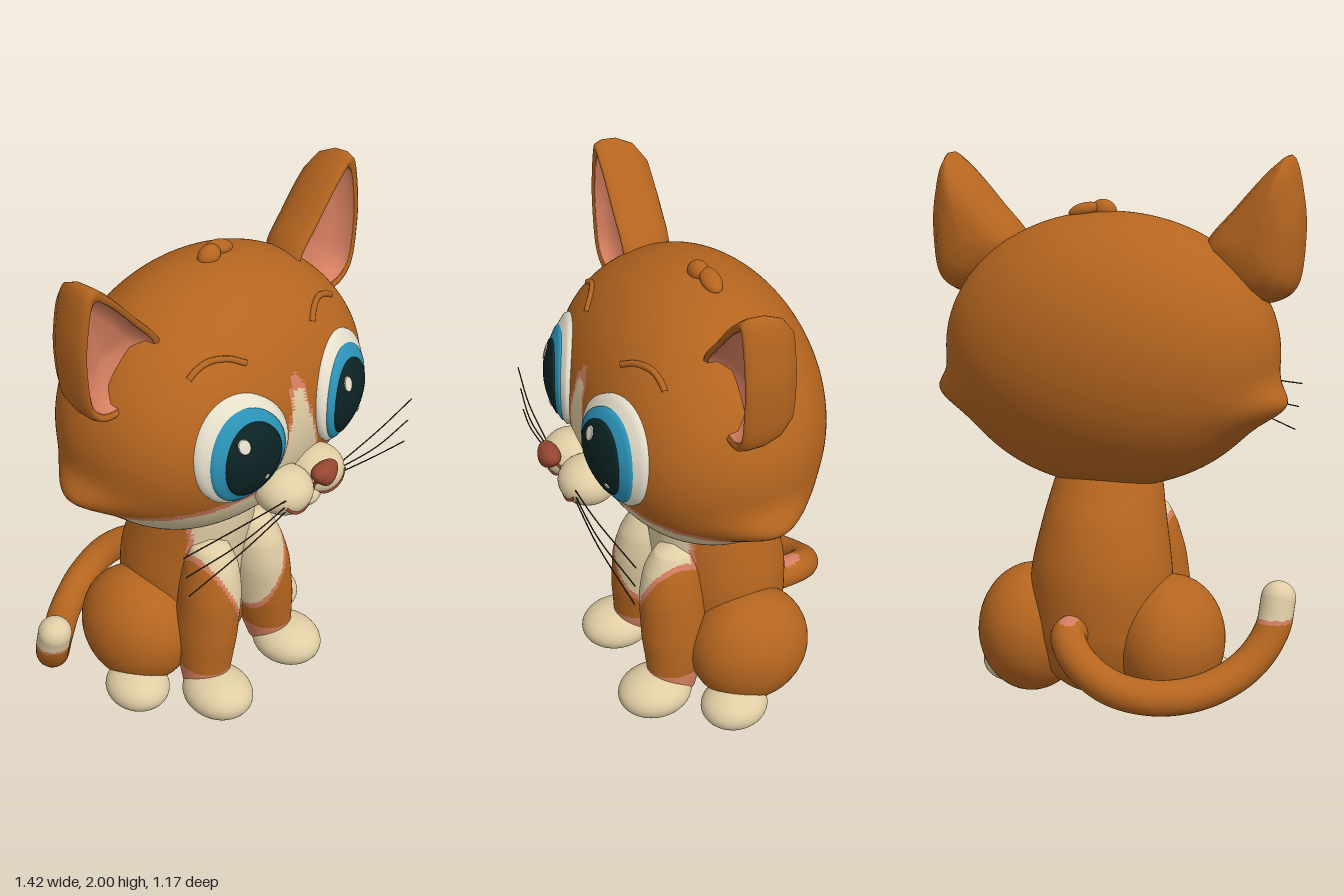
import * as THREE from 'three';

const flat = (name, color) => {
  const m = new THREE.MeshStandardMaterial({ color });
  m.name = name;
  return m;
};
const fur = flat('orange fur', 0xb5651f);
const cream = flat('cream fur', 0xe0cda4);
const pink = flat('pink', 0xd67f60);
const eyeWhite = flat('eye white', 0xe6e0cc);
const iris = flat('blue iris', 0x2b93b8);
const pupil = flat('dark pupil', 0x0c2324);
const noseRed = flat('red brown nose', 0x964630);
const dark = flat('dark whisker', 0x3d2a1a);
const coat = [fur, cream, pink];

const V = (x, y, z) => new THREE.Vector3(x, y, z);
const SIDES = [['left', 1], ['right', -1]];

// piecewise linear lookup in [key, value] pairs
function ramp(pairs, k) {
  if (k <= pairs[0][0]) return pairs[0][1];
  for (let i = 1; i < pairs.length; i++) {
    const [a, u] = pairs[i - 1], [b, v] = pairs[i];
    if (k <= b) return u + (v - u) * (k - a) / (b - a);
  }
  return pairs[pairs.length - 1][1];
}

// skin over closed rings with equal point counts
function loft(rings) {
  const n = rings[0].length, index = [];
  for (let i = 0; i < rings.length - 1; i++) {
    for (let j = 0; j < n; j++) {
      const a = i * n + j, b = i * n + (j + 1) % n;
      index.push(a, a + n, b, b, a + n, b + n);
    }
  }
  const g = new THREE.BufferGeometry().setFromPoints(rings.flat());
  g.setIndex(index);
  g.computeVertexNormals();
  return g;
}

// smooth limb or trunk from [y, centre x, centre z, radius x, radius z]
function trunk(sections, steps = 80, n = 72) {
  const mid = new THREE.CatmullRomCurve3(sections.map(s => V(s[1], s[0], s[2])));
  const rad = new THREE.CatmullRomCurve3(sections.map(s => V(s[3], 0, s[4])));
  return loft(Array.from({ length: steps + 1 }, (_, i) => {
    const c = mid.getPoint(i / steps), r = rad.getPoint(i / steps);
    return Array.from({ length: n }, (_, j) => {
      const a = j / n * Math.PI * 2;
      return V(c.x + r.x * Math.cos(a), c.y, c.z + r.z * Math.sin(a));
    });
  }));
}

// sort triangles into material groups by a rule on their centre
function paint(g, rule) {
  const p = g.attributes.position, ix = g.index.array, bins = [[], [], []];
  for (let i = 0; i < ix.length; i += 3) {
    const t = [ix[i], ix[i + 1], ix[i + 2]];
    const avg = f => (f(t[0]) + f(t[1]) + f(t[2])) / 3;
    bins[rule(avg(k => p.getX(k)), avg(k => p.getY(k)), avg(k => p.getZ(k)))].push(...t);
  }
  g.setIndex(bins.flat());
  let start = 0;
  bins.forEach((b, k) => { g.addGroup(start, b.length, k); start += b.length; });
  return g;
}

// front surface of the head
const HEAD = { a: 0.62, b: 0.5, c: 0.44, y: 1.3 };
const headZ = (x, y) => HEAD.c * (1 + 0.25 * (x / HEAD.a) ** 2) *
  Math.sqrt(Math.max(0, 1 - (x / HEAD.a) ** 2 - ((y - HEAD.y) / HEAD.b) ** 2));

export function createModel() {
  const cat = new THREE.Group();
  cat.name = 'cat';
  const add = (name, g, mat) => {
    const m = new THREE.Mesh(g, mat);
    m.name = name;
    cat.add(m);
    return m;
  };
  const blob = (name, mat, p, r) => {
    const m = add(name, new THREE.SphereGeometry(1, 40, 28), mat);
    m.position.set(...p);
    m.scale.set(...r);
    return m;
  };
  const tube = (name, mat, pts, r, sides = 8) =>
    add(name, new THREE.TubeGeometry(new THREE.CatmullRomCurve3(pts), 32, r, sides), mat);

  // head: rounded ellipsoid with cheek bulges
  const head = new THREE.SphereGeometry(1, 180, 130);
  const hp = head.attributes.position;
  for (let i = 0; i < hp.count; i++) {
    const u = hp.getX(i), y = HEAD.y + hp.getY(i) * HEAD.b, w = hp.getZ(i);
    const z = w > 0 ? w * HEAD.c * (1 + 0.25 * u * u) : w * 0.42;
    const puff = 0.075 * Math.exp(-(((y - 1.13) / 0.07) ** 2) - ((z + 0.03) / 0.16) ** 2);
    hp.setXYZ(i, u * HEAD.a + Math.sign(u) * puff * THREE.MathUtils.smoothstep(Math.abs(u), 0.5, 0.8), y, z);
  }
  head.computeVertexNormals();
  const blaze = [[1.05, 0.12], [1.2, 0.1], [1.3, 0.065], [1.4, 0.035], [1.47, 0.024], [1.51, 0]];
  add('head', paint(head, (x, y, z) => {
    const jaw = Math.min(1.045 + 0.14 * z - y, z + 0.01);
    const strip = z > 0 && y < 1.515 ? ramp(blaze, y) - Math.abs(x) : -1;
    if (jaw > 0 || (strip > 0 && y < 1.46)) return 1;
    return jaw > -0.025 || strip > -0.01 ? 2 : 0;
  }), coat);

  // ears: rounded outline lofted front to back, hollow pink inside
  const earLine = new THREE.CatmullRomCurve3([[0.64, 2], [0.685, 1.85], [0.692, 1.7], [0.665, 1.54], [0.6, 1.49],
    [0.48, 1.5], [0.36, 1.6], [0.34, 1.68], [0.45, 1.82], [0.59, 1.97]].map(p => V(p[0], p[1], 0)), true).getPoints(64).slice(0, 64);
  const earPart = (s, levels) => loft(levels.map(([k, z]) => {
    const ring = earLine.map(p => V(s * (0.54 + (p.x - 0.54) * k), 1.68 + (p.y - 1.68) * k, z));
    return s < 0 ? ring.reverse() : ring;
  }));

  // eyes: nested domes following the head surface
  const dome = (cx, cy, rx, ry, ex, lift) => loft(Array.from({ length: 15 }, (_, i) =>
    Array.from({ length: 56 }, (_, j) => {
      const a = -j / 56 * Math.PI * 2, k = Math.min(1, 1 - (i - 1) / 13);
      const x = cx + rx * k * Math.cos(a), y = cy + ry * k * Math.sin(a);
      const rho = Math.min(1, ((x - ex) / 0.18) ** 2 + ((y - 1.335) / 0.203) ** 2);
      return V(x, y, headZ(x, y) + 0.012 + lift + 0.037 * (1 - rho) - (i === 0 ? 0.02 + lift : 0));
    })));

  const legShape = [[0.09, 0.19, 0.17, 0.08, 0.09], [0.22, 0.175, 0.155, 0.1, 0.115], [0.35, 0.16, 0.15, 0.11, 0.128],
    [0.5, 0.14, 0.15, 0.11, 0.125], [0.62, 0.125, 0.14, 0.095, 0.11], [0.7, 0.12, 0.13, 0.065, 0.075], [0.73, 0.12, 0.13, 0.002, 0.002]];
  const bib = [[0.25, 0], [0.3, 0.05], [0.4, 0.09], [0.55, 0.15], [0.65, 0.185], [0.75, 0.215]];
  const bibRule = (x, y, z) => {
    const d = y > 0.28 ? Math.min(ramp(bib, y) - Math.abs(x), z - 0.09) : -1;
    return d > 0 ? 1 : d > -0.016 || (y > 0.26 && y <= 0.29 && z > 0 && Math.abs(x) < 0.06) ? 2 : 0;
  };

  for (const [side, s] of SIDES) {
    add(side + 'Ear', earPart(s, [[0, -0.09], [0.4, -0.088], [0.7, -0.07], [0.9, -0.025], [0.99, 0.035],
      [1, 0.09], [0.97, 0.115], [0.91, 0.12], [0.84, 0.108]]), fur);
    add(side + 'InnerEar', earPart(s, [[0.85, 0.112], [0.81, 0.08], [0.6, 0.045], [0, 0.035]]), pink);

    const ex = 0.26 * s;
    add(side + 'EyeWhite', dome(ex, 1.335, 0.18, 0.203, ex, 0), eyeWhite);
    add(side + 'Iris', dome(ex, 1.323, 0.148, 0.178, ex, 0.004), iris);
    add(side + 'Pupil', dome(ex * 0.985, 1.318, 0.113, 0.143, ex, 0.008), pupil);
    add(side + 'EyeGlint', dome(ex - 0.045, 1.398, 0.02, 0.026, ex, 0.012), eyeWhite);
    add(side + 'SmallGlint', dome(ex + 0.05, 1.237, 0.009, 0.011, ex, 0.012), eyeWhite);
    tube(side + 'Brow', fur, [[0.17, 1.61], [0.22, 1.635], [0.28, 1.64], [0.33, 1.625], [0.365, 1.605]]
      .map(([x, y]) => V(x * s, y, headZ(x, y) + 0.002)), 0.011);

    // muzzle, whiskers
    blob(side + 'Muzzle', cream, [0.085 * s, 1.1, 0.44], [0.105, 0.085, 0.105]);
    [[1.13, 1.14, 1.12], [1.04, 1.07, 1.1], [0.95, 1.03, 1.08]].forEach(([end, mid, root], i) =>
      tube(side + 'Whisker' + (i + 1), dark, [V(0.13 * s, root, 0.51), V(0.36 * s, mid, 0.505), V((0.62 - i * 0.012) * s, end, 0.465)], 0.0025, 5));

    // legs and paws
    const leg = trunk(legShape.map(([y, x, ...r]) => [y, x * s, ...r]), 80, 64);
    add(side + 'FrontLeg', paint(leg, (x, y, z) => y < 0.19 ? 2 : bibRule(x, y, z)), coat);
    blob(side + 'FrontPaw', cream, [0.205 * s, 0.09, 0.25], [0.125, 0.09, 0.145]);
    blob(side + 'Haunch', fur, [0.265 * s, 0.262, -0.115], [0.2, 0.24, 0.235]);
    blob(side + 'BackPaw', cream, [0.385 * s, 0.085, -0.005], [0.118, 0.085, 0.13]);
  }

  // chin, mouth and nose
  blob('chin', cream, [0, 1.048, 0.44], [0.075, 0.048, 0.08]);
  const lipZ = (x, y) => 0.44 + 0.107 * Math.sqrt(Math.max(0,
    1 - ((Math.abs(x) - 0.085) / 0.105) ** 2 - ((y - 1.1) / 0.085) ** 2));
  tube('mouth', noseRed, [[-0.16, 1.095], [-0.13, 1.065], [-0.09, 1.05], [-0.045, 1.052], [0, 1.075],
    [0.045, 1.052], [0.09, 1.05], [0.13, 1.065], [0.16, 1.095]].map(([x, y]) => V(x, y, lipZ(x, y))), 0.006);
  tube('lipLine', noseRed, [V(0, 1.14, 0.53), V(0, 1.1, 0.505), V(0, 1.075, 0.5)], 0.006);
  const nose = new THREE.SphereGeometry(1, 32, 24);
  const np = nose.attributes.position;
  for (let i = 0; i < np.count; i++) {
    const y = np.getY(i);
    np.setXYZ(i, np.getX(i) * 0.062 * (0.85 + 0.45 * y), 1.172 + y * 0.046, 0.548 + np.getZ(i) * 0.04);
  }
  nose.computeVertexNormals();
  add('nose', nose, noseRed);

  // hair tuft on the crown
  blob('tuftFront', fur, [0.02, 1.805, -0.005], [0.046, 0.036, 0.036]).rotation.z = 0.3;
  blob('tuftBack', fur, [0.09, 1.802, -0.022], [0.06, 0.027, 0.035]).rotation.z = -0.25;

  // body with cream bib
  const body = trunk([[0.05, 0, -0.1, 0.005, 0.005], [0.07, 0, -0.1, 0.13, 0.13], [0.16, 0, -0.1, 0.23, 0.22], [0.3, 0, -0.105, 0.265, 0.25],
    [0.5, 0, -0.1, 0.26, 0.255], [0.7, 0, -0.06, 0.225, 0.235], [0.82, 0, -0.02, 0.2, 0.2], [0.92, 0, 0, 0.16, 0.15]]);
  add('body', paint(body, (x, y, z) =>
    y > 0.13 && y < 0.18 && z > 0 && Math.abs(x) < 0.14 ? 2 : bibRule(x, y, z)), coat);

  // tail sweeping round to the right with a cream tip
  const tailPath = [V(0.03, 0.33, -0.3), V(0.025, 0.335, -0.41), V(-0.05, 0.28, -0.5), V(-0.17, 0.21, -0.52), V(-0.32, 0.17, -0.465),
    V(-0.47, 0.18, -0.36), V(-0.59, 0.25, -0.25), V(-0.655, 0.36, -0.175), V(-0.668, 0.465, -0.14)];
  const tail = new THREE.TubeGeometry(new THREE.CatmullRomCurve3(tailPath), 120, 0.062, 28);
  add('tail', paint(tail, (x, y) => y > 0.405 ? 1 : y > 0.39 ? 2 : 0), coat);
  blob('tailTip', cream, tailPath[8].toArray(), [0.062, 0.062, 0.062]);

  cat.children.forEach(m => { m.position.x += 0.02; });
  const model = new THREE.Group();
  model.name = 'sittingCat';
  model.add(cat);
  return model;
}
